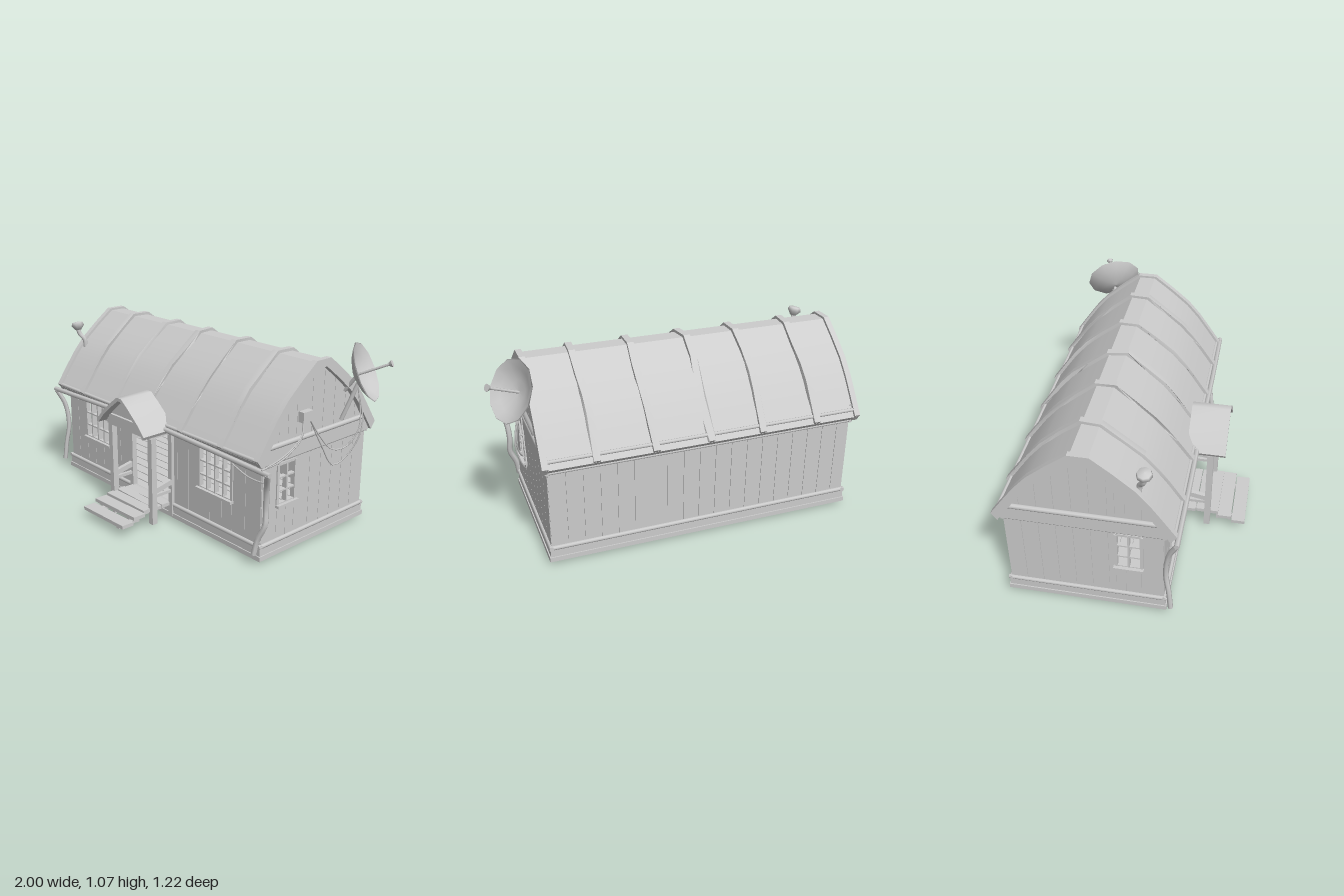
import * as THREE from 'three';
import { toCreasedNormals } from 'three/addons/utils/BufferGeometryUtils.js';

const weathered = new THREE.MeshStandardMaterial({ color: 0xcccccc, side: THREE.DoubleSide });
weathered.name = 'weathered grey';

const V = (x, y, z) => new THREE.Vector3(x, y, z);

function add(parent, name, geometry, x = 0, y = 0, z = 0) {
  const m = new THREE.Mesh(geometry, weathered);
  m.name = name;
  m.position.set(x, y, z);
  parent.add(m);
  return m;
}
// box given by its min and max on each axis
function box(parent, name, x0, x1, y0, y1, z0, z1) {
  return add(parent, name, new THREE.BoxGeometry(x1 - x0, y1 - y0, z1 - z0), (x0 + x1) / 2, (y0 + y1) / 2, (z0 + z1) / 2);
}
function tube(parent, name, pts, r, sides = 6, segs = pts.length * 4) {
  const curve = new THREE.CatmullRomCurve3(pts.map(p => V(...p)));
  add(parent, name, new THREE.TubeGeometry(curve, segs, r, sides));
  // close both ends
  for (const t of [0, 1]) {
    const cap = add(parent, name + 'End', new THREE.CircleGeometry(r, sides), ...curve.getPoint(t).toArray());
    cap.quaternion.setFromUnitVectors(V(0, 0, 1), curve.getTangent(t).multiplyScalar(t ? 1 : -1));
  }
}
function log(parent, name, a, b, r) {
  const d = V(...b).sub(V(...a));
  const m = add(parent, name, new THREE.CylinderGeometry(r, r, d.length(), 8));
  m.position.copy(V(...a)).addScaledVector(d, 0.5);
  m.quaternion.setFromUnitVectors(V(0, 1, 0), d.normalize());
}
function extrude(pts, depth) {
  const shape = new THREE.Shape(pts.map(p => new THREE.Vector2(...p)));
  return new THREE.ExtrudeGeometry(shape, { depth, bevelEnabled: false });
}

// Roof section: distance from the ridge plane, height
const RIDGE = -0.145;
const half = [[0.452, 0.572], [0.375, 0.682], [0.32, 0.758], [0.25, 0.838], [0.15, 0.922], [0.045, 1.002]];
const mirrored = h => [...h, ...h.slice().reverse().map(([d, y]) => [-d, y])];
const offset = (h, dx, dy) => h.map(([d, y]) => [d + dx, y + dy]);
function roofHeight(d) {
  d = Math.abs(d);
  for (let i = 0; i < half.length - 1; i++) {
    const [d0, y0] = half[i], [d1, y1] = half[i + 1];
    if (d >= d1) return y0 + (y1 - y0) * (d0 - d) / (d0 - d1);
  }
  return 1.0;
}
// Band following the roof section, running along x from x0; bend makes it crooked
function roofBand(parent, name, outerHalf, innerHalf, x0, length, bend = 0, phase = 0) {
  const geo = extrude([...mirrored(outerHalf), ...mirrored(innerHalf).reverse()], length);
  const p = geo.attributes.position;
  for (let i = 0; i < p.count; i++) p.setZ(i, p.getZ(i) + bend * Math.sin(p.getX(i) * 13 + phase));
  const m = add(parent, name, toCreasedNormals(geo, 0.6), x0, 0, RIDGE);
  m.rotation.y = Math.PI / 2;
}

// Wall of upright grooved planks from u0 to u1, split around openings [u0, u1, v0, v1]
function plankWall(name, u0, u1, top, openings, step) {
  const g = new THREE.Group();
  g.name = name;
  const fixed = [u0, u1, ...openings.flatMap(o => [o[0], o[1]])];
  const edges = [...fixed];
  for (let u = u0 + step; u < u1; u += step) if (fixed.every(f => Math.abs(f - u) > 0.025)) edges.push(u);
  edges.sort((a, b) => a - b);
  for (let i = 0; i < edges.length - 1; i++) {
    const a = edges[i], b = edges[i + 1], mid = (a + b) / 2;
    const hole = openings.find(o => mid > o[0] && mid < o[1]);
    const plank = (lo, hiA, hiB) => {
      for (const [gap, depth] of [[0, 0.016], [0.001, 0.021]])
        add(g, 'plank', extrude([[a + gap, lo], [b - gap, lo], [b - gap, hiB], [a + gap, hiA]], depth));
    };
    if (!hole) plank(0.03, top(a), top(b));
    else {
      if (hole[2] > 0.04) plank(0.03, hole[2], hole[2]);
      plank(hole[3], top(a), top(b));
    }
  }
  return g;
}
// Window bars and sill within an opening
function windowBars(g, [u0, u1, v0, v1], cols, rows) {
  for (let i = 0; i <= cols; i++) {
    const u = u0 + (u1 - u0) * i / cols, w = i % cols ? 0.005 : 0.008;
    box(g, 'windowBar', u - w, u + w, v0, v1, 0, 0.028);
  }
  for (let i = 0; i <= rows; i++) {
    const v = v0 + (v1 - v0) * i / rows, w = i % rows ? 0.004 : 0.007;
    box(g, 'windowBar', u0, u1, v - w, v + w, 0.002, 0.026);
  }
  box(g, 'windowSill', u0 - 0.012, u1 + 0.012, v0 - 0.012, v0 + 0.002, 0, 0.045);
}

function buildWalls(root) {
  const flat = () => 0.585;
  const frontWins = [[-0.755, -0.51, 0.28, 0.515], [0.3, 0.55, 0.28, 0.515]];
  const front = plankWall('frontWall', -0.937, 0.757, flat, [...frontWins, [-0.28, 0.07, 0.03, 0.53]], 0.088);
  front.position.z = 0.23;
  frontWins.forEach(w => windowBars(front, w, 4, 3));
  const back = plankWall('backWall', -0.757, 0.937, flat, [], 0.09);
  back.rotation.y = Math.PI;
  back.position.z = -0.538;

  const gable = (name, side, x, u0, win) => {
    const g = plankWall(name, u0, u0 + 0.805, u => roofHeight(u + side * RIDGE) - 0.025, [win], 0.088);
    g.rotation.y = side * Math.PI / 2;
    g.position.x = x;
    windowBars(g, win, 2, 3);
    root.add(g);
  };
  gable('leftGableWall', 1, 0.738, -0.248, [-0.138, -0.008, 0.295, 0.515]);
  gable('rightGableWall', -1, -0.918, -0.557, [0.008, 0.138, 0.295, 0.515]);
  root.add(front, back);

  // floorboards over a recessed base panel
  box(root, 'basePanel', -0.93, 0.75, 0.045, 0.075, -0.55, 0.24);
  for (let i = 0; i < 11; i++) box(root, 'floorboard', -0.925, 0.745, 0.075, 0.087, -0.545 + i * 0.0712, -0.48 + i * 0.0712);

  // foundation boards and logs
  const ring = (name, y0, y1, out, inner) => {
    for (const s of [-1, 1]) {
      const z = s * (0.41 + out) - 0.153, x = s * (0.852 + out) - 0.09;
      const zi = z - s * inner, xi = x - s * inner;
      box(root, name, -0.942 - out, 0.762 + out, y0, y1, Math.min(z, zi), Math.max(z, zi));
      box(root, name, Math.min(x, xi), Math.max(x, xi), y0, y1, -0.563 - out, 0.257 + out);
    }
  };
  ring('foundationBoard', 0.044, 0.09, 0.004, 0.03);
  ring('footBoard', 0.02, 0.046, 0.01, 0.05);
  const logs = (name, y, r) => {
    for (const z of [0.254, -0.56]) log(root, name, [-0.95, y, z], [0.77, y, z], r);
    for (const x of [-0.94, 0.76]) log(root, name, [x, y, -0.572], [x, y, 0.266], r);
  };
  logs('foundationLog', 0.096, 0.012);
  logs('wallTopLog', 0.537, 0.009);
  // boards and logs across the foot of each gable
  for (const x of [-0.945, 0.765]) {
    box(root, 'gableBoard', x - 0.008, x + 0.008, 0.54, 0.612, -0.57, 0.26);
    log(root, 'gableLog', [x, 0.622, -0.56], [x, 0.622, 0.265], 0.014);
  }
}

function buildRoof(root) {
  roofBand(root, 'roofShell', half, offset(half, -0.018, -0.022), -0.96, 1.74);
  for (const x of [-0.975, 0.757]) roofBand(root, 'endRafter', offset(half, 0.008, 0.012), offset(half, -0.022, -0.03), x, 0.032);
  // crooked ribs over the roof
  [-0.71, -0.398, -0.1, 0.208, 0.512].forEach((x, k) =>
    roofBand(root, 'roofRib', offset(half, 0.011, 0.015), offset(half, -0.01, -0.01), x - 0.018, 0.036, k === 2 ? 0.013 : 0.007, k * 1.7));
  log(root, 'eaveLog', [-0.96, 0.58, RIDGE + 0.445], [0.78, 0.58, RIDGE + 0.445], 0.01);
  log(root, 'eaveLog', [-0.96, 0.608, RIDGE - 0.43], [0.78, 0.608, RIDGE - 0.43], 0.01);

  // gutter and crooked downpipes
  tube(root, 'gutter', [[-1.0, 0.545, 0.318], [-0.5, 0.56, 0.32], [-0.1, 0.566, 0.318], [0.4, 0.558, 0.32], [0.87, 0.54, 0.315]], 0.014, 6);
  tube(root, 'downpipe', [[-0.985, 0.54, 0.32], [-0.965, 0.44, 0.275], [-0.955, 0.3, 0.262], [-0.965, 0.18, 0.28], [-0.972, 0.07, 0.292]], 0.014);
  tube(root, 'downpipe', [[0.855, 0.54, 0.315], [0.815, 0.44, 0.275], [0.802, 0.33, 0.262], [0.805, 0.24, 0.27], [0.77, 0.15, 0.285], [0.757, 0.07, 0.295]], 0.016);

  // stovepipe with flared cap
  tube(root, 'stovepipe', [[-0.925, 0.8, 0.125], [-0.928, 0.85, 0.13], [-0.948, 0.885, 0.15], [-0.957, 0.925, 0.157]], 0.014, 8);
  const cap = add(root, 'stovepipeCap', new THREE.LatheGeometry([[0, -0.028], [0.018, -0.028], [0.04, 0], [0.034, 0.02], [0, 0.024]].map(p => new THREE.Vector2(...p)), 8), -0.957, 0.937, 0.157);
  cap.rotation.z = 0.25;
}

function buildPorch(root) {
  const porch = new THREE.Group();
  porch.name = 'porch';
  porch.position.x = -0.105;
  root.add(porch);
  const arch = [[0.212, 0.558], [0.16, 0.614], [0.075, 0.685], [0.02, 0.726]];
  const under = offset(arch, -0.01, -0.018);
  add(porch, 'porchRoof', toCreasedNormals(extrude([...mirrored(arch), ...mirrored(under).reverse()], 0.21), 0.8), 0, 0, 0.265);
  add(porch, 'porchGable', extrude(mirrored(under.slice(1)), 0.02), 0, 0, 0.4);
  box(porch, 'porchBeam', -0.168, 0.168, 0.527, 0.59, 0.375, 0.425);
  for (const s of [-1, 1]) {
    const x = s * 0.178;
    box(porch, 'sideBeam', x - 0.014, x + 0.014, 0.527, 0.565, 0.25, 0.42);
    box(porch, 'porchPost', x - 0.017, x + 0.017, 0.02, 0.53, 0.377, 0.411);
    box(porch, 'doorPost', x - 0.015, x + 0.015, 0.03, 0.53, 0.24, 0.27);
    box(porch, 'lowRail', x - 0.009, x + 0.009, 0.175, 0.192, 0.26, 0.38);
    const rail = box(porch, 'handRail', x - 0.012, x + 0.012, 0.21, 0.24, 0.265, 0.385);
    rail.rotation.x = 0.2;
    for (const [z, top] of [[0.45, 0.085], [0.52, 0.05]]) box(porch, 'stepLeg', x * 0.6 - 0.009, x * 0.6 + 0.009, s < 0 ? 0 : 0.025, top, z - 0.008, z + 0.008);
    box(porch, 'stepBearer', x * 0.7 - 0.01, x * 0.7 + 0.01, 0.038, 0.055, 0.46, 0.6);
    box(porch, 'stepBearer', x * 0.7 - 0.01, x * 0.7 + 0.01, 0.065, 0.085, 0.27, 0.53);
  }
  // crooked treads: z range, height, tilt
  [[0.265, 0.325, 0.098, 0.01], [0.33, 0.385, 0.1, -0.012], [0.39, 0.455, 0.1, 0.015], [0.455, 0.53, 0.085, 0.03], [0.535, 0.61, 0.06, 0.03]].forEach(([z0, z1, y, tilt], i) => {
    const w = i > 2 ? 0.183 : 0.172;
    const tread = box(porch, 'stepTread', -w, w, y - 0.01, y + 0.01, z0, z1);
    tread.rotation.z = tilt;
  });
}

function buildDish(root) {
  const dish = new THREE.Group();
  dish.name = 'satelliteDish';
  dish.position.set(0.868, 0.92, -0.38);
  dish.quaternion.setFromUnitVectors(V(0, 1, 0), V(0.84, 0.42, -0.38).normalize());
  root.add(dish);
  const bowl = [[0, -0.055], [0.06, -0.047], [0.115, -0.025], [0.163, 0.004], [0.158, 0.008], [0.112, -0.018], [0.058, -0.04], [0, -0.047]];
  add(dish, 'dishBowl', new THREE.LatheGeometry(bowl.map(p => new THREE.Vector2(...p)), 11));
  log(dish, 'receiverArm', [0, -0.05, 0], [0, 0.135, 0], 0.007);
  add(dish, 'receiver', new THREE.CylinderGeometry(0.02, 0.012, 0.016, 8), 0, 0.138, 0);

  log(root, 'dishStrut', [0.835, 0.86, -0.375], [0.765, 0.645, -0.338], 0.012);
  log(root, 'dishStrut', [0.82, 0.885, -0.365], [0.76, 0.8, -0.36], 0.01);
  // junction box and slack cables
  box(root, 'junctionBox', 0.76, 0.795, 0.71, 0.765, -0.073, 0.0);
  const cable = pts => tube(root, 'cable', pts, 0.004, 5, 28);
  cable([[0.785, 0.71, -0.065], [0.8, 0.62, -0.12], [0.81, 0.52, -0.22], [0.83, 0.52, -0.31], [0.86, 0.62, -0.37], [0.835, 0.86, -0.37]]);
  cable([[0.78, 0.71, -0.068], [0.79, 0.56, -0.15], [0.8, 0.42, -0.25], [0.83, 0.47, -0.33], [0.87, 0.62, -0.38], [0.835, 0.86, -0.37]]);
  for (const e of [0, 0.012]) cable([[0.78, 0.71, -0.01], [0.79, 0.65 - e, 0.0], [0.8, 0.6 - e, 0.08], [0.82, 0.575 - e, 0.2], [0.83, 0.56, 0.33]]);
  cable([[0.85, 0.55, 0.31], [0.82, 0.48, 0.28], [0.7, 0.465, 0.275], [0.55, 0.49, 0.255]]);
}

export function createModel() {
  const root = new THREE.Group();
  root.name = 'cabin';
  buildWalls(root);
  buildRoof(root);
  buildPorch(root);
  buildDish(root);
  return root;
}
